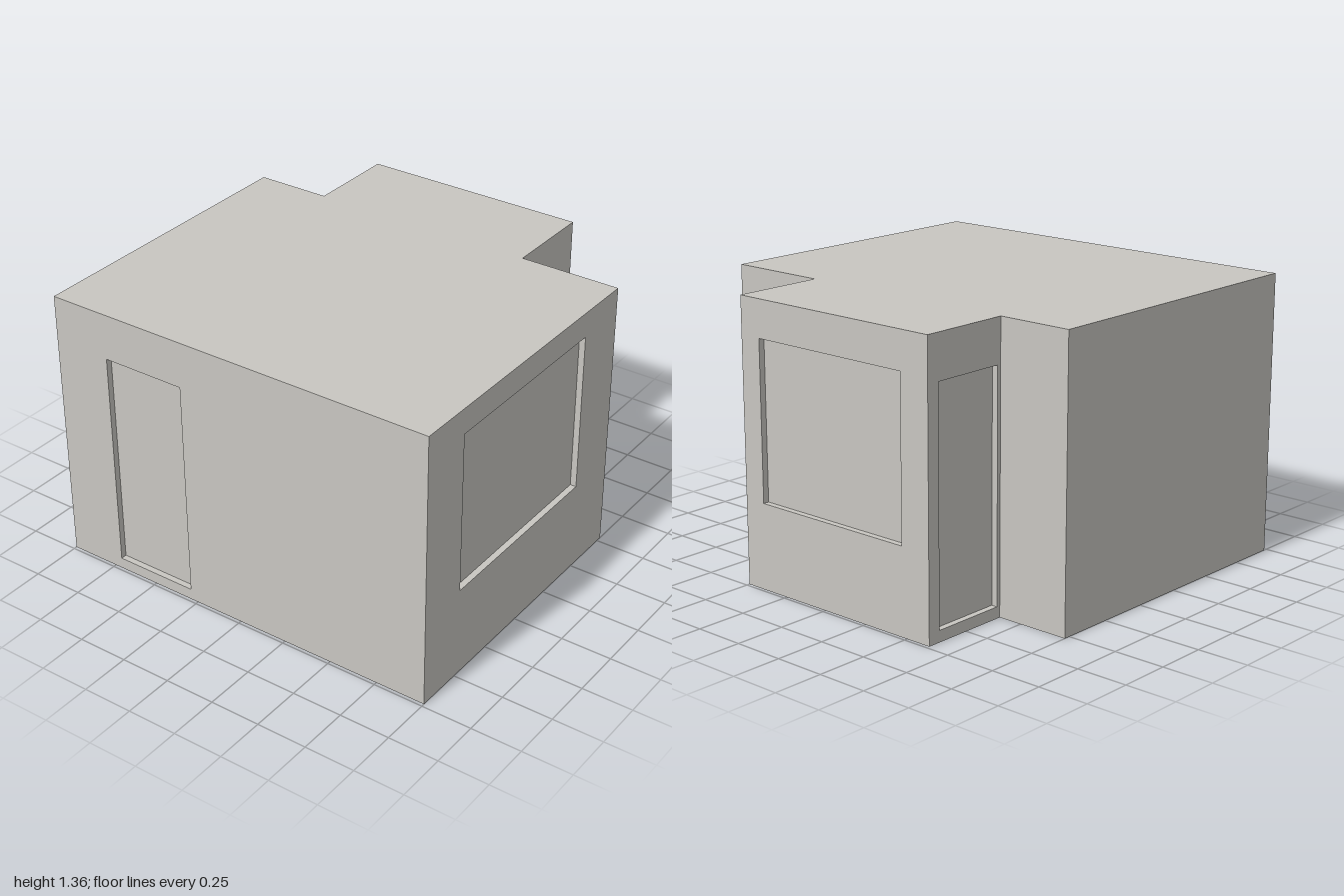
import * as THREE from 'three';

const HEIGHT = 1.36;
const RECESS = 0.03;

// Floor plan corners [x, z], walked so every wall faces outward
const PLAN = [
  [-1, 0.984], [1, 0.984], [1, -0.53], [0.5, -0.53],
  [0.5, -0.984], [-0.63, -0.984], [-0.63, -0.53], [-1, -0.53],
];

// One entry per wall: name and optional opening [u0, u1, y0, y1], u along the wall
const WALLS = [
  { name: 'frontWall', panel: 'frontDoor', opening: [0.29, 0.71, 0.055, 1.135] },
  { name: 'leftWall', panel: 'sideWindow', opening: [0.264, 1.239, 0.445, 1.235] },
  { name: 'backWallLeft' },
  { name: 'annexLeftWall' },
  { name: 'annexBackWall', panel: 'backWindow', opening: [0.113, 0.973, 0.415, 1.18] },
  { name: 'annexRightWall', panel: 'annexDoor', opening: [0.065, 0.435, 0.055, 1.15] },
  { name: 'backWallRight' },
  { name: 'rightWall' },
];

const polygon = (points) => new THREE.Shape(points.map(([x, y]) => new THREE.Vector2(x, y)));
const rect = (x0, x1, y0, y1) => [[x0, y0], [x1, y0], [x1, y1], [x0, y1]];

export function createModel() {
  const plaster = new THREE.MeshStandardMaterial({ color: 0xc8c6c1 });
  plaster.name = 'plaster';

  const building = new THREE.Group();
  building.name = 'building';

  const addMesh = (parent, name, geometry) => {
    const mesh = new THREE.Mesh(geometry, plaster);
    mesh.name = name;
    parent.add(mesh);
    return mesh;
  };

  // Walls, each in its own frame: x along the wall, z outward
  WALLS.forEach(({ name, panel, opening }, i) => {
    const [ax, az] = PLAN[i];
    const [bx, bz] = PLAN[(i + 1) % PLAN.length];
    const wall = new THREE.Group();
    wall.name = name;
    wall.position.set(ax, 0, az);
    wall.rotation.y = Math.atan2(az - bz, bx - ax);
    building.add(wall);

    const face = polygon(rect(0, Math.hypot(bx - ax, bz - az), 0, HEIGHT));
    if (opening) {
      const [u0, u1, y0, y1] = opening;
      const w = u1 - u0, h = y1 - y0;
      const cu = (u0 + u1) / 2, cy = (y0 + y1) / 2;
      face.holes.push(polygon(rect(...opening)));

      // Sunken door or window panel
      addMesh(wall, panel, new THREE.PlaneGeometry(w, h)).position.set(cu, cy, -RECESS);

      // Sill, lintel and two jambs facing into the opening
      for (const s of [-1, 1]) {
        const ledge = addMesh(wall, s < 0 ? 'sill' : 'lintel', new THREE.PlaneGeometry(w, RECESS));
        ledge.position.set(cu, cy + s * h / 2, -RECESS / 2);
        ledge.rotation.x = s * Math.PI / 2;
        const jamb = addMesh(wall, 'jamb', new THREE.PlaneGeometry(RECESS, h));
        jamb.position.set(cu + s * w / 2, cy, -RECESS / 2);
        jamb.rotation.y = -s * Math.PI / 2;
      }
    }
    addMesh(wall, name + 'Face', new THREE.ShapeGeometry(face));
  });

  // Flat roof and floor cut to the plan
  const roof = new THREE.ShapeGeometry(polygon(PLAN.map(([x, z]) => [x, -z])));
  addMesh(building, 'roof', roof.rotateX(-Math.PI / 2)).position.y = HEIGHT;
  addMesh(building, 'floor', new THREE.ShapeGeometry(polygon(PLAN)).rotateX(Math.PI / 2));

  return building;
}
